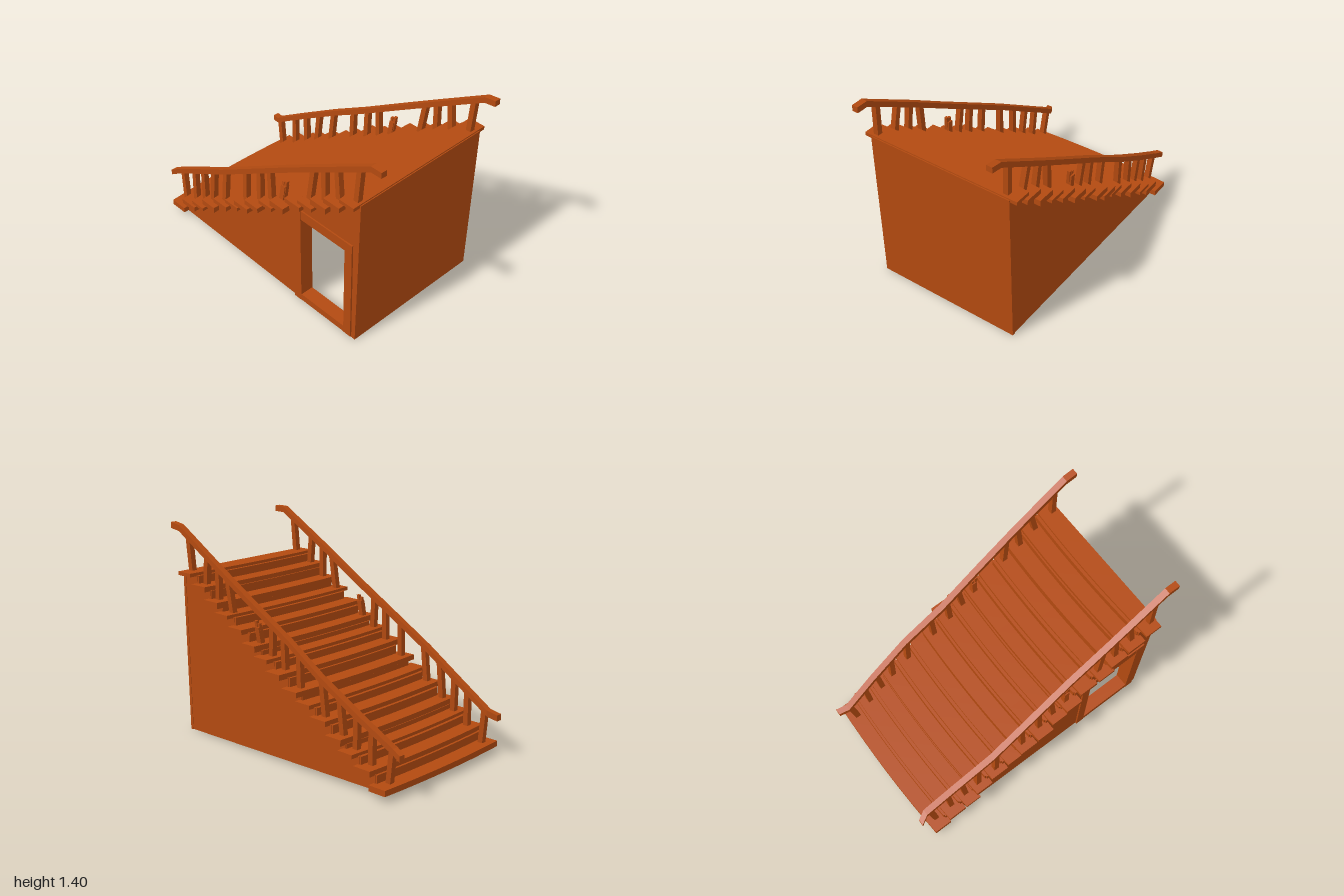
import * as THREE from 'three';

const TURN = 0.024; // slight crooked turn of the whole stair

// treads from top to bottom: zMax, zMin, yTop, thickness, left-edge x, right-edge x
const TREADS = [
  [0.86, 0.71, 1.098, 0.024, -0.548, 0.578], [0.72, 0.58, 1.028, 0.034, -0.55, 0.565],
  [0.60, 0.46, 0.945, 0.04, -0.545, 0.565], [0.49, 0.36, 0.88, 0.024, -0.557, 0.57],
  [0.37, 0.23, 0.81, 0.032, -0.545, 0.565], [0.24, 0.11, 0.728, 0.04, -0.565, 0.565],
  [0.13, 0.00, 0.663, 0.026, -0.565, 0.565], [0.01, -0.125, 0.596, 0.036, -0.58, 0.575],
  [-0.11, -0.25, 0.508, 0.034, -0.57, 0.555], [-0.22, -0.35, 0.448, 0.026, -0.565, 0.542],
  [-0.34, -0.48, 0.378, 0.034, -0.565, 0.54], [-0.47, -0.605, 0.294, 0.04, -0.57, 0.537],
  [-0.58, -0.705, 0.23, 0.025, -0.585, 0.545], [-0.695, -0.835, 0.16, 0.036, -0.575, 0.53],
  [-0.82, -0.955, 0.077, 0.038, -0.575, 0.53],
].map(([zMax, zMin, top, thick, x0, x1]) => ({ zMax, zMin, top, thick, x0, x1 }));

// balusters: z at the foot, z at the rail
const BALUSTERS = [
  [0.81, 0.82], [0.67, 0.64], [0.55, 0.535], [0.42, 0.445], [0.07, 0.05], [-0.04, -0.045], [-0.175, -0.18],
  [-0.395, -0.38], [-0.535, -0.52], [-0.635, -0.65], [-0.75, -0.76], [-0.875, -0.905],
];

// rail plan lines: z, x
const RAILS = {
  right: [[1.0, -0.46], [0.92, -0.462], [0.5, -0.472], [0.2, -0.475], [-0.1, -0.487], [-0.4, -0.498],
    [-0.7, -0.483], [-0.92, -0.474], [-0.98, -0.505]],
  left: [[0.97, 0.5], [0.89, 0.499], [0.5, 0.493], [0.2, 0.482], [-0.1, 0.467], [-0.4, 0.475],
    [-0.7, 0.452], [-0.93, 0.425], [-1.0, 0.445]],
};

const railY = (z) => (z > 0.9 ? 1.38 : Math.max(0.265, 1.375 - (0.9 - z) * 0.595));

// square bar swept through a list of centre points
function bar(points, w, h, alongY = false) {
  const ring = [[-1, -1], [1, -1], [1, 1], [-1, 1]];
  const pos = [], index = [];
  for (const p of points) {
    for (const [a, b] of ring) {
      pos.push(p.x + (a * w) / 2, p.y + (alongY ? 0 : (b * h) / 2), p.z + (alongY ? (-b * h) / 2 : 0));
    }
  }
  const n = points.length;
  for (let i = 0; i < n - 1; i++) {
    for (let j = 0; j < 4; j++) {
      const a = i * 4 + j, b = i * 4 + ((j + 1) % 4);
      index.push(a, a + 4, b, b, a + 4, b + 4);
    }
  }
  const e = (n - 1) * 4;
  index.push(0, 1, 2, 0, 2, 3, e, e + 2, e + 1, e, e + 3, e + 2);
  const g = new THREE.BufferGeometry();
  g.setAttribute('position', new THREE.Float32BufferAttribute(pos, 3));
  g.setIndex(index);
  const flat = g.toNonIndexed();
  flat.computeVertexNormals();
  return flat;
}

// board whose lower edge bows outwards
function bowedBoard(x0, x1, y0, y1, z0, z1, bothFaces) {
  const g = new THREE.BoxGeometry(x1 - x0, y1 - y0, z1 - z0, 8, 1, 1);
  g.translate((x0 + x1) / 2, (y0 + y1) / 2, (z0 + z1) / 2);
  const p = g.attributes.position;
  for (let i = 0; i < p.count; i++) {
    if (!bothFaces && p.getZ(i) > (z0 + z1) / 2) continue;
    p.setZ(i, p.getZ(i) - 0.02 * (1 - (p.getX(i) / 0.58) ** 2));
  }
  const flat = g.toNonIndexed();
  flat.computeVertexNormals();
  return flat;
}

export function createModel() {
  const wood = new THREE.MeshStandardMaterial({ color: 0xb34a10, side: THREE.DoubleSide });
  wood.name = 'brown wood';
  const model = new THREE.Group();
  model.name = 'staircase';
  const body = new THREE.Group();
  body.name = 'stairBody';
  body.rotation.y = TURN;
  model.add(body);

  const add = (parent, name, geometry) => {
    const mesh = new THREE.Mesh(geometry, wood);
    mesh.name = name;
    parent.add(mesh);
    return mesh;
  };
  const box = (name, x0, x1, y0, y1, z0, z1) => {
    const g = new THREE.BoxGeometry(x1 - x0, y1 - y0, z1 - z0);
    g.translate((x0 + x1) / 2, (y0 + y1) / 2, (z0 + z1) / 2);
    return add(body, name, g);
  };

  // treads and risers
  TREADS.forEach((t, i) => {
    const shift = TURN * (t.zMax + t.zMin) / 2;
    add(body, 'tread', bowedBoard(t.x0 - shift, t.x1 - shift, t.top - t.thick, t.top,
      t.zMin + 0.022, t.zMax - (i ? -0.01 : 0.014), false));
    const next = TREADS[i + 1];
    if (next) {
      add(body, 'riser', bowedBoard(-0.505, 0.505, next.top - next.thick, t.top - t.thick + 0.005,
        next.zMax - 0.008, next.zMax + 0.012, true));
    }
  });

  // stepped side walls, the right one with a doorway
  const sideWall = (name, x, doorway) => {
    const outline = [[0.828, 0.002], [-0.83, 0.035]];
    for (let i = TREADS.length - 1; i >= 0; i--) {
      const y = TREADS[i].top - TREADS[i].thick + 0.006;
      const low = i < TREADS.length - 1 ? TREADS[i + 1].zMax - 0.005 : -0.83;
      outline.push([low, y], [i ? TREADS[i].zMax - 0.005 : 0.835, y]);
    }
    const shape = new THREE.Shape(outline.map(([z, y]) => new THREE.Vector2(z, y)));
    if (doorway) {
      const hole = [[0.35, 0.06], [0.35, 0.7], [0.75, 0.7], [0.75, 0.06]];
      shape.holes.push(new THREE.Path(hole.map(([z, y]) => new THREE.Vector2(z, y))));
    }
    const g = new THREE.ExtrudeGeometry(shape, { depth: 0.02, bevelEnabled: false });
    g.rotateY(-Math.PI / 2);
    g.translate(x, 0, 0);
    add(body, name, g);
  };
  sideWall('leftWall', 0.508, false);
  sideWall('rightWall', -0.495, true);

  // front wall, leaning slightly outwards at the top
  const front = new THREE.BoxGeometry(1.026, 1.09, 0.022);
  front.translate(-0.002, 0.545, 0.819);
  const fp = front.attributes.position;
  for (let i = 0; i < fp.count; i++) fp.setZ(i, fp.getZ(i) + fp.getY(i) * 0.021);
  front.computeVertexNormals();
  add(body, 'frontWall', front);

  // door frame
  for (const [z0, z1] of [[0.3, 0.36], [0.74, 0.8]]) box('doorJamb', -0.526, -0.43, 0.012, 0.76, z0, z1);
  box('doorLintel', -0.524, -0.432, 0.69, 0.758, 0.36, 0.74);
  box('doorSill', -0.524, -0.432, 0.012, 0.06, 0.36, 0.74);

  // handrails with balusters
  for (const [side, plan] of Object.entries(RAILS)) {
    const rail = new THREE.Group();
    rail.name = side + 'Railing';
    model.add(rail);
    const skew = side === 'left' ? -0.012 : 0.012;
    const railX = (z) => {
      const k = Math.max(1, plan.findIndex((p) => p[0] <= z));
      const [a, b] = [plan[k - 1], plan[k]];
      return a[1] + ((b[1] - a[1]) * (z - a[0])) / (b[0] - a[0]);
    };
    const points = plan.map(([z, x]) => new THREE.Vector3(x, railY(z), z));
    add(rail, 'handrail', bar(points, 0.042, 0.04));

    const post = (name, zFoot, zTop, yTop, w) => {
      const tread = TREADS.find((t) => zFoot > t.zMin + 0.01);
      const foot = new THREE.Vector3(railX(zFoot) - 0.012, tread.top - 0.004, zFoot + skew);
      const head = new THREE.Vector3(railX(zTop), yTop, zTop + skew);
      add(rail, name, bar([foot, head], w, w, true));
    };
    for (const [zFoot, zTop] of BALUSTERS) post('baluster', zFoot, zTop, railY(zTop + skew), 0.036);
    // snapped baluster with two splinters
    post('brokenBaluster', 0.17, 0.178, 0.83, 0.036);
    post('splinter', 0.18, 0.196, 0.868, 0.02);
    post('splinter', 0.162, 0.17, 0.855, 0.018);
  }
  return model;
}
